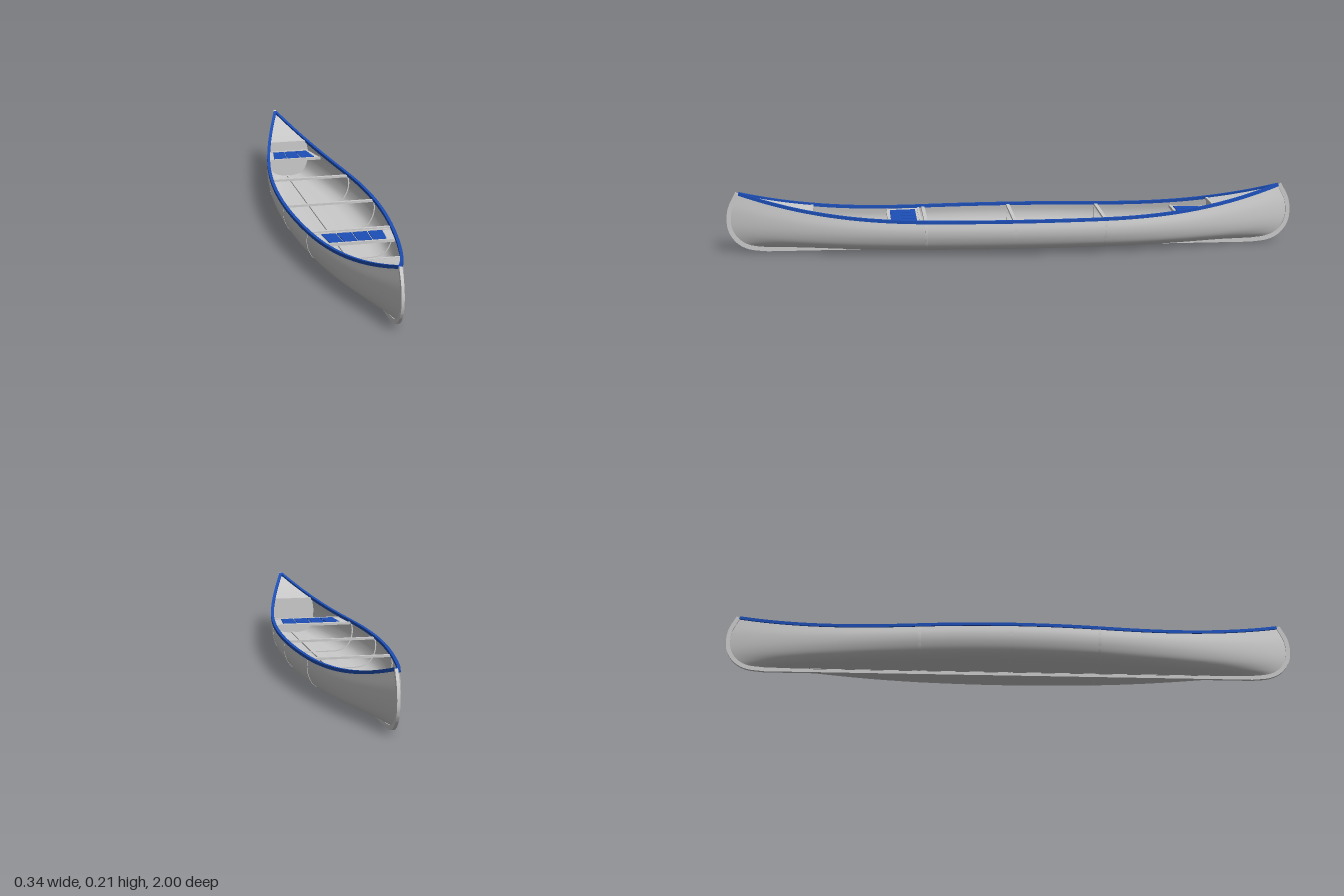
import * as THREE from 'three';
import { toCreasedNormals } from 'three/addons/utils/BufferGeometryUtils.js';

const V = (x, y, z) => new THREE.Vector3(x, y, z);
const X = V(1, 0, 0), Z = V(0, 0, 1);

// Half of the midship section (x, y) and the stem outline (z, y), keel to gunwale
const midship = new THREE.CatmullRomCurve3([[0, .012], [.06, .012], [.11, .015], [.142, .03],
  [.16, .06], [.166, .09], [.162, .122]].map(([x, y]) => V(x, y, 0)));
const stem = new THREE.CatmullRomCurve3([[.86, .012], [.92, .02], [.952, .036], [.976, .064],
  [.987, .098], [.983, .152], [.957, .206]].map(([z, y]) => V(0, y, z)));

// Hull surface: u runs stern (-1) to bow (1), v from right gunwale (-1) over the keel to left (1)
function hullPoint(u, v) {
  const m = midship.getPoint(Math.abs(v)), s = stem.getPoint(Math.abs(v));
  const rise = Math.max(0, (Math.abs(u) - .3) / .7) ** 2.4;
  return V(Math.sign(v) * m.x * (1 - u * u), m.y + (s.y - m.y) * rise, u * s.z);
}
const steps = (n, f) => Array.from({ length: n + 1 }, (_, i) => f(i / n));
const sectionAt = z => steps(48, t => {
  const v = 2 * t - 1;
  const p = hullPoint(z / stem.getPoint(Math.abs(v)).z, v);
  p.z = z;
  return p;
});
const rim = z => hullPoint(z / stem.getPoint(1).z, 1);

function grid(rows) {
  const n = rows[0].length, index = [];
  for (let i = 0; i < rows.length - 1; i++) for (let j = 0; j < n - 1; j++) {
    const a = i * n + j, b = a + n;
    index.push(a, a + 1, b, a + 1, b + 1, b);
  }
  const g = new THREE.BufferGeometry().setFromPoints(rows.flat());
  g.setIndex(index);
  g.computeVertexNormals();
  return g;
}

// Rectangular strip swept along a path; a is the half width along side, b0..b1 the thickness range
function sweep(path, side, a, b0, b1) {
  const pts = [], index = [], last = path.length - 1;
  path.forEach((p, i) => {
    const t = path[Math.min(i + 1, last)].clone().sub(path[Math.max(i - 1, 0)]);
    const up = t.cross(side).normalize();
    for (const [s, b] of [[-a, b0], [a, b0], [a, b1], [-a, b1]])
      pts.push(p.clone().addScaledVector(side, s).addScaledVector(up, b));
    if (i < last) for (let k = 0; k < 4; k++) {
      const c = i * 4 + k, d = i * 4 + (k + 1) % 4;
      index.push(c, d, c + 4, d, d + 4, c + 4);
    }
  });
  const e = last * 4;
  index.push(0, 2, 1, 0, 3, 2, e, e + 1, e + 2, e, e + 2, e + 3);
  const g = new THREE.BufferGeometry().setFromPoints(pts);
  g.setIndex(index);
  return toCreasedNormals(g, .7);
}

// Flat four-sided slab from (x, z) corners, with its top at y
function slab(corners, y, thickness) {
  const shape = new THREE.Shape(corners.map(([x, z]) => new THREE.Vector2(x, -z)));
  const g = new THREE.ExtrudeGeometry(shape, { depth: thickness, bevelEnabled: false });
  return g.rotateX(-Math.PI / 2).translate(0, y - thickness, 0);
}

export function createModel() {
  const model = new THREE.Group();
  const grey = new THREE.MeshStandardMaterial({ color: 0xcccccc });
  const sheet = new THREE.MeshStandardMaterial({ color: 0xcccccc, side: THREE.DoubleSide });
  const blue = new THREE.MeshStandardMaterial({ color: 0x1d4fb8 });
  const add = (name, geometry, material = grey, parent = model) => {
    const mesh = new THREE.Mesh(geometry, material);
    mesh.name = name;
    parent.add(mesh);
    return mesh;
  };

  // Hull shell
  add('hull', grid(steps(96, s => steps(64, t => hullPoint(2 * s - 1, 2 * t - 1)))), sheet);

  // Keel strip running up both stems, and the inner strip along the floor
  const half = steps(32, t => stem.getPoint(1 - t));
  const mirrored = half.map(p => V(0, p.y, -p.z)).reverse();
  add('keel', sweep([...half, ...mirrored], X, .005, -.003, .012));
  add('keelson', new THREE.BoxGeometry(.014, .006, 1.4).translate(0, .014, 0));

  // Gunwales
  for (const side of [1, -1]) {
    const path = steps(96, t => {
      const p = hullPoint(2 * t - 1, 1);
      p.x *= side;
      return p;
    });
    add(side > 0 ? 'leftGunwale' : 'rightGunwale', sweep(path, X, .0055, -.005, .006), blue);
  }

  // Crossbars with a rib beneath each
  const bar = (name, z, y, w, h = .008, parent = model) =>
    add(name, new THREE.BoxGeometry(2 * rim(z).x - .004, h, w).translate(0, y, z), grey, parent);
  for (const z of [-.318, 0, .308]) {
    bar('thwart', z, .117, .012);
    add('rib', sweep(sectionAt(z), Z, .005, -.004, .001));
  }

  // End decks, their edge trim and the bulkheads below
  for (const z of [.703, -.712]) {
    const rows = steps(16, t => {
      const p = rim(z + (Math.sign(z) * .955 - z) * t);
      return [-1, 1].map(s => V(s * p.x, p.y - .001, p.z));
    });
    add('endDeck', grid(rows), sheet);
    bar('deckTrim', z, rim(z).y - .004, .01, .01);
    const outline = new THREE.Shape(sectionAt(z).map(p => new THREE.Vector2(p.x, p.y)));
    add('bulkhead', new THREE.ShapeGeometry(outline).translate(0, 0, z), sheet);
  }

  // Seats: a frame across the hull, end rails and a row of blue panels
  const seats = [
    { name: 'frontSeat', z0: .338, z1: .428, w0: .108, w1: .1, panels: 4 },
    { name: 'rearSeat', z0: -.68, z1: -.592, w0: .066, w1: .08, panels: 3 },
  ];
  for (const { name, z0, z1, w0, w1, panels } of seats) {
    const seat = new THREE.Group();
    seat.name = name;
    model.add(seat);
    const a = z0 - .012, b = z1 + .008;
    const xa = rim(a).x - .002, xb = rim(b).x - .002;
    add('seatFrame', slab([[-xa, a], [-xb, b], [xb, b], [xa, a]], .116, .006), grey, seat);
    for (const z of [a, b]) bar('seatRail', z, .114, .008, .01, seat);
    for (let i = 0; i < panels; i++) {
      const l = 2 * i / panels - 1 + .02, r = 2 * (i + 1) / panels - 1 - .02;
      const corners = [[l * w0, z0], [l * w1, z1], [r * w1, z1], [r * w0, z0]];
      add('seatPanel', slab(corners, .119, .005), blue, seat);
    }
  }
  return model;
}
